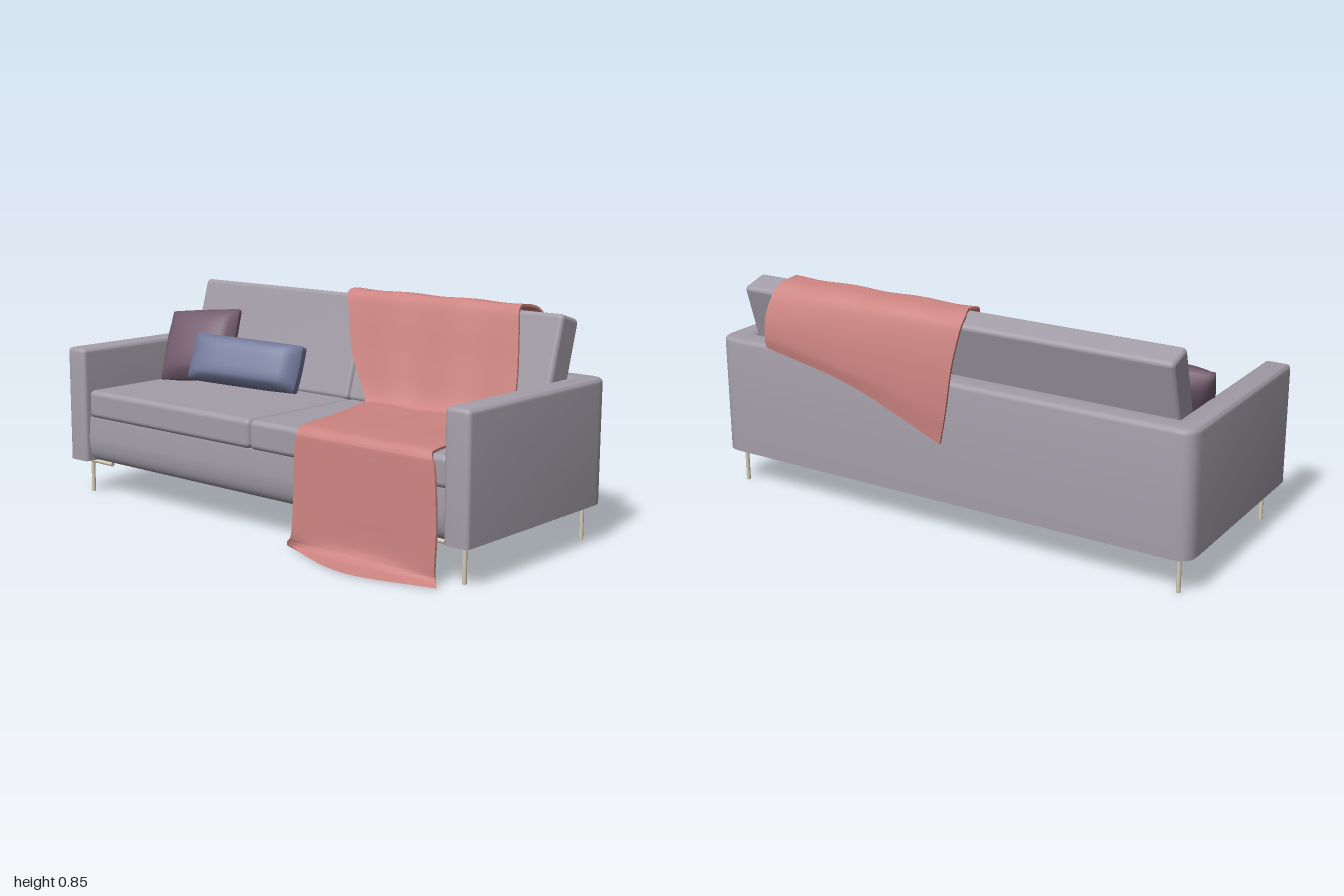
import * as THREE from 'three';
import { mergeVertices, toCreasedNormals } from 'three/addons/utils/BufferGeometryUtils.js';
import { RoundedBoxGeometry } from 'three/addons/geometries/RoundedBoxGeometry.js';

const material = (name, color, side = THREE.FrontSide) => {
  const m = new THREE.MeshStandardMaterial({ color, side });
  m.name = name;
  return m;
};

function add(parent, name, geometry, mat, x = 0, y = 0, z = 0) {
  const mesh = new THREE.Mesh(geometry, mat);
  mesh.name = name;
  mesh.position.set(x, y, z);
  parent.add(mesh);
  return mesh;
}

// U-shaped wall: two arms and the back in one piece, flat underneath
function shellGeometry() {
  const f = -0.37, b = 0.465, i = 0.9, ib = 0.365, R = 0.065, r = 0.018;
  const s = new THREE.Shape();
  s.moveTo(1 - r, f);
  s.quadraticCurveTo(1, f, 1, f + r);
  s.lineTo(1, b - R);
  s.quadraticCurveTo(1, b, 1 - R, b);
  s.lineTo(R - 1, b);
  s.quadraticCurveTo(-1, b, -1, b - R);
  s.lineTo(-1, f + r);
  s.quadraticCurveTo(-1, f, r - 1, f);
  s.lineTo(-i - r, f);
  s.quadraticCurveTo(-i, f, -i, f + r);
  s.lineTo(-i, ib);
  s.lineTo(i, ib);
  s.lineTo(i, f + r);
  s.quadraticCurveTo(i, f, i + r, f);
  const g = new THREE.ExtrudeGeometry(s, {
    depth: 0.442, curveSegments: 5, bevelSize: 0.015, bevelOffset: -0.015, bevelThickness: 0.018, bevelSegments: 3,
  });
  g.rotateX(-Math.PI / 2).translate(0, 0.14, 0);
  const p = g.attributes.position;
  for (let k = 0; k < p.count; k++) p.setY(k, Math.max(p.getY(k), 0.14));
  return toCreasedNormals(g, 0.7);
}

// Seat base with a rounded lower front edge
function baseGeometry() {
  const s = new THREE.Shape();
  s.moveTo(-0.4, 0.14);
  s.lineTo(0.31, 0.14);
  s.quadraticCurveTo(0.35, 0.15, 0.352, 0.24);
  s.lineTo(0.345, 0.322);
  s.lineTo(-0.4, 0.322);
  const g = new THREE.ExtrudeGeometry(s, { depth: 1.81, bevelEnabled: false, curveSegments: 8 });
  g.rotateY(-Math.PI / 2).scale(1, 1, 1).translate(0.905, 0, 0);
  return toCreasedNormals(g, 0.7);
}

// Soft cushion that thins towards its seams
function pillowGeometry(w, h, d, seam, power) {
  let g = new THREE.BoxGeometry(2, 2, 2, 14, 12, 4);
  g.deleteAttribute('uv');
  g.deleteAttribute('normal');
  g = mergeVertices(g);
  const p = g.attributes.position;
  for (let k = 0; k < p.count; k++) {
    const u = p.getX(k), v = p.getY(k), t = p.getZ(k);
    const puff = seam + (1 - seam) * Math.sqrt((1 - Math.abs(u) ** power) * (1 - Math.abs(v) ** power));
    const pull = 0.06, round = 0.05 * u * u * v * v;
    p.setXYZ(k,
      u * w / 2 * (1 - pull * (1 - v * v) * u * u * 0.6 - round),
      v * h / 2 * (1 - pull * (1 - u * u) * v * v * 0.6 - round),
      t * d / 2 * puff);
  }
  g.computeVertexNormals();
  return g;
}

// Throw blanket: [right edge x, left edge x, y, z] from behind the back to the floor;
// an array gives the values at the right edge, middle and left edge
const THROW = [
  [-0.03, 0.75, [0.37, 0.52, 0.6], -0.478],
  [-0.06, 0.75, [0.5, 0.58, 0.65], -0.485],
  [-0.08, 0.75, [0.66, 0.69, 0.72], -0.475],
  [-0.10, 0.74, 0.79, -0.448],
  [-0.10, 0.73, 0.828, -0.415],
  [-0.08, 0.72, 0.842, -0.36],
  [-0.09, 0.72, 0.835, -0.312],
  [-0.06, 0.74, 0.76, -0.28],
  [0.0, 0.77, 0.6, -0.232],
  [0.11, 0.79, 0.458, -0.175],
  [0.14, 0.8, 0.443, -0.1],
  [0.2, 0.82, 0.443, 0.1],
  [0.25, 0.84, 0.443, 0.32],
  [0.26, 0.85, 0.428, 0.366],
  [0.255, 0.87, 0.38, 0.375],
  [0.255, 0.885, 0.2, 0.382],
  [0.25, 0.885, 0.06, 0.388],
  [0.22, 0.89, 0.02, [0.38, 0.42, 0.39]],
  [0.21, 0.91, 0.007, [0.37, 0.483, 0.41]],
];

function throwGeometry() {
  const rows = 108, cols = 20, half = 0.0045;
  const pick = (v, i) => (Array.isArray(v) ? v[i] : v);
  const edges = [0, 1, 2].map((i) => new THREE.CatmullRomCurve3(THROW.map(([a, b, y, z]) =>
    new THREE.Vector3(a + (b - a) * i / 2, pick(y, i), pick(z, i))), false, 'catmullrom', 0.5));
  const positions = [], index = [], ring = 2 * (cols + 1);
  for (let r = 0; r <= rows; r++) {
    const t = r / rows;
    const pts = edges.map((c) => c.getPoint(t));
    const tangent = edges[1].getTangent(t);
    const n = new THREE.Vector3(0, tangent.z, -tangent.y).normalize();
    const across = new THREE.CatmullRomCurve3(pts, false, 'catmullrom', 0.5);
    for (let k = 0; k < ring; k++) {
      const top = k <= cols;
      const u = (top ? k : ring - 1 - k) / cols;
      const fold = 0.003 * Math.sin(u * 17 + t * 9) * Math.sin(t * Math.PI);
      const q = across.getPoint(u).addScaledVector(n, fold + (top ? half : -half));
      positions.push(q.x, Math.max(q.y, 0), q.z);
      if (r < rows) {
        const a = r * ring + k, b = r * ring + (k + 1) % ring;
        index.push(a, a + ring, b, b, a + ring, b + ring);
      }
    }
  }
  const g = new THREE.BufferGeometry();
  g.setAttribute('position', new THREE.Float32BufferAttribute(positions, 3));
  g.setIndex(index);
  return toCreasedNormals(g, 0.9);
}

export function createModel() {
  const sofa = new THREE.Group();
  sofa.name = 'sofa';
  const fabric = material('greyFabric', 0xa39da7);
  const metal = material('beigeMetal', 0xd6cdb8);
  const plum = material('plumFabric', 0x725a6b);
  const blue = material('blueFabric', 0x727a9b);
  const coral = material('coralWool', 0xcc8481, THREE.DoubleSide);

  add(sofa, 'armsAndBack', shellGeometry(), fabric);
  add(sofa, 'seatBase', baseGeometry(), fabric);

  // Paired seat and back cushions
  for (const side of [-1, 1]) {
    add(sofa, 'seatCushion', new RoundedBoxGeometry(0.9, 0.112, 0.65, 3, 0.022), fabric, side * 0.45, 0.376, 0.027);
    const back = add(sofa, 'backCushion', new RoundedBoxGeometry(0.897, 0.42, 0.115, 3, 0.018), fabric, side * 0.449, 0.615, -0.311);
    back.rotation.x = -0.285;
  }

  // Corner legs: a post with two bars under the frame
  for (const x of [-1, 1]) {
    for (const [z, dir] of [[0.302, -1], [-0.411, 1]]) {
      const leg = new THREE.Group();
      leg.name = 'leg';
      leg.position.set(x * 0.942, 0, z);
      add(leg, 'legPost', new THREE.CylinderGeometry(0.008, 0.008, 0.14, 12), metal, 0, 0.07, 0);
      const bar = new THREE.CylinderGeometry(0.009, 0.009, 0.127, 12);
      add(leg, 'legBarAcross', bar, metal, -x * 0.0595, 0.13, 0).rotation.z = Math.PI / 2;
      add(leg, 'legBarAlong', bar, metal, 0, 0.13, dir * 0.0595).rotation.x = Math.PI / 2;
      sofa.add(leg);
    }
  }

  // Loose pillows leaning on the back
  const square = add(sofa, 'squarePillow', pillowGeometry(0.34, 0.32, 0.14, 0.14, 2.5), plum, -0.745, 0.578, -0.13);
  square.rotation.set(-0.5, 0.2, 0.1, 'YXZ');
  const long = add(sofa, 'longPillow', pillowGeometry(0.5, 0.2, 0.14, 0.3, 4), blue, -0.455, 0.535, -0.105);
  long.rotation.set(-0.4, 0.32, -0.06, 'YXZ');

  add(sofa, 'throwBlanket', throwGeometry(), coral);
  return sofa;
}
